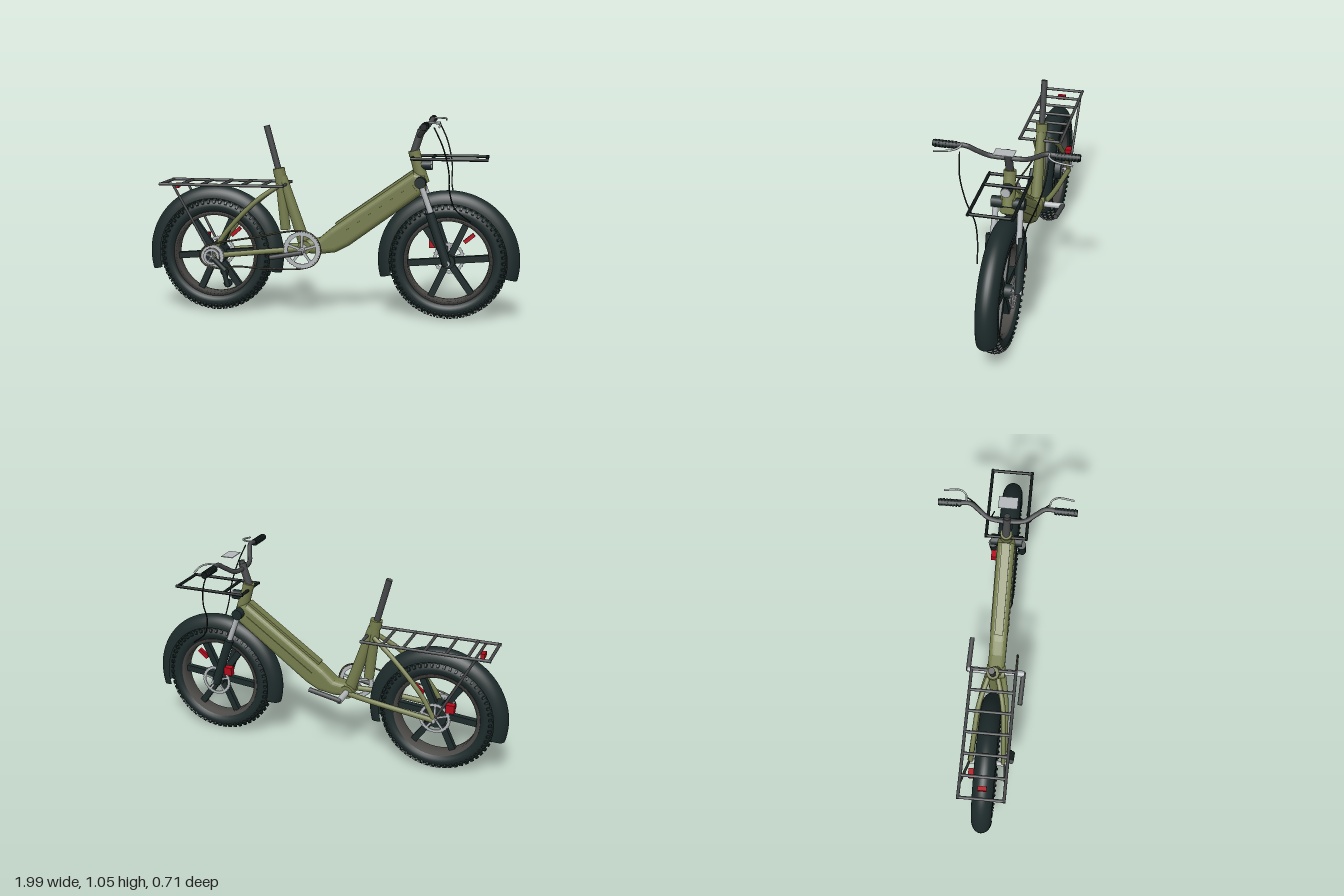
import * as THREE from 'three';
import { mergeGeometries } from 'three/addons/utils/BufferGeometryUtils.js';

const mat = (name, color, side = THREE.FrontSide) => {
  const m = new THREE.MeshStandardMaterial({ color, side });
  m.name = name;
  return m;
};
const V = (x, y, z) => new THREE.Vector3(x, y, z);

export function createModel() {
  const bike = new THREE.Group();
  bike.name = 'bicycle';
  const olive = mat('olive paint', 0x757c4c);
  const dark = mat('dark rubber', 0x1d2a2a, THREE.DoubleSide);
  const grey = mat('dark grey metal', 0x454748);
  const rimGrey = mat('rim grey', 0x4b4a47, THREE.DoubleSide);
  const silver = mat('silver metal', 0xb4b8bb);
  const red = mat('red', 0xb30a1c);
  const chainMat = mat('chain', 0x45432f);
  const black = mat('black', 0x101616);

  // Helpers
  const add = (name, geo, m, parent = bike) => {
    const o = new THREE.Mesh(geo, m);
    o.name = name;
    parent.add(o);
    return o;
  };
  const rod = (name, m, a, b, r, r2 = r, parent = bike) => {
    const d = b.clone().sub(a);
    const o = add(name, new THREE.CylinderGeometry(r2, r, d.length(), 16), m, parent);
    o.position.copy(a).addScaledVector(d, 0.5);
    o.quaternion.setFromUnitVectors(V(0, 1, 0), d.normalize());
    return o;
  };
  const tube = (name, m, pts, r, closed = false, seg = 48) =>
    add(name, new THREE.TubeGeometry(new THREE.CatmullRomCurve3(pts.map(p => V(...p)), closed, 'centripetal'), seg, r, 8, closed), m);
  const box = (name, m, size, pos, rz = 0, parent = bike) => {
    const o = add(name, new THREE.BoxGeometry(...size), m, parent);
    o.position.set(...pos);
    o.rotation.z = rz;
    return o;
  };
  // Flat toothed ring with spokes, facing z
  const disc = (name, m, r, inner, depth, teeth, pos, parent = bike) => {
    const s = new THREE.Shape();
    for (let i = 0; i < teeth * 2; i++) {
      const a = i * Math.PI / teeth, q = i % 2 ? r : r * 0.95;
      s[i ? 'lineTo' : 'moveTo'](q * Math.cos(a), q * Math.sin(a));
    }
    s.holes.push(new THREE.Path().absarc(0, 0, inner, 0, Math.PI * 2, true));
    const parts = [new THREE.ExtrudeGeometry(s, { depth, bevelEnabled: false, curveSegments: 32 }).toNonIndexed?.() ?? null].filter(Boolean);
    for (let i = 0; i < 5; i++) {
      const arm = new THREE.BoxGeometry(inner * 1.04, r * 0.13, depth).toNonIndexed();
      arm.translate(inner * 0.52, 0, depth / 2);
      arm.rotateZ(i * Math.PI * 0.4 + 0.3);
      parts.push(arm);
    }
    const o = add(name, mergeGeometries(parts), m, parent);
    o.position.set(pos[0], pos[1], pos[2] - depth / 2);
    return o;
  };
  const lathe = (pts, seg, start = 0, len = Math.PI * 2) =>
    new THREE.LatheGeometry(pts.map(p => new THREE.Vector2(...p)), seg, start, len).rotateX(Math.PI / 2);

  // Wheels with knobbly tyres, six spokes, rotor, reflector and fender
  const knobs = [];
  for (let i = 0; i < 56; i++) for (let j = -2; j <= 2; j++) {
    const phi = j * 0.5, k = new THREE.BoxGeometry(0.012, 0.019, 0.017);
    k.rotateX(phi);
    k.translate(0, 0.262 + 0.041 * Math.cos(phi), 0.05 * Math.sin(phi));
    k.rotateZ((i + (j & 1) * 0.5) * Math.PI / 28);
    knobs.push(k);
  }
  const knobGeo = mergeGeometries(knobs);
  const fenderProfile = [];
  for (let i = 0; i <= 16; i++) {
    const a = Math.PI * (i / 16 - 0.5);
    fenderProfile.push([0.305 + 0.066 * Math.cos(a), 0.054 * Math.sin(a)]);
  }
  const wheel = (name, x) => {
    const w = new THREE.Group();
    w.name = name;
    w.position.set(x, 0.31, 0);
    bike.add(w);
    const tyre = add('tyre', new THREE.TorusGeometry(0.262, 0.041, 16, 72), dark, w);
    tyre.scale.z = 1.2;
    add('treadKnobs', knobGeo, dark, w);
    add('rim', lathe([[0.232, -0.036], [0.212, -0.03], [0.212, 0.03], [0.232, 0.036], [0.232, -0.036]], 64), rimGrey, w);
    for (let i = 0; i < 6; i++) {
      const a = i * Math.PI / 3 + 0.09;
      box('spoke', dark, [0.2, 0.034, 0.03], [0.12 * Math.cos(a), 0.12 * Math.sin(a), 0], a, w);
    }
    rod('hub', dark, V(0, 0, -0.05), V(0, 0, 0.05), x < 0 ? 0.06 : 0.036, undefined, w);
    rod('axle', silver, V(0, 0, -0.1), V(0, 0, 0.1), 0.014, undefined, w);
    disc('brakeRotor', silver, 0.085, 0.067, 0.005, 30, [0, 0, -0.062], w);
    box('brakeCaliper', red, [0.045, 0.045, 0.035], [-0.083, 0.076, -0.072], 0, w);
    box('spokeReflector', red, [0.065, 0.02, 0.02], [0.107, 0.12, 0], 0.7, w);
    add('fender', lathe(fenderProfile, 64, Math.PI * 0.417, Math.PI * 1.166), dark, w);
  };
  wheel('rearWheel', -0.627);
  wheel('frontWheel', 0.625);

  // Deep down tube curving into the bottom bracket
  const outline = [[0.44, 0.775], [0.5, 0.755], [0.505, 0.675], [0.1, 0.375], [0.03, 0.338], [-0.06, 0.325],
    [-0.14, 0.33], [-0.16, 0.36], [-0.14, 0.4], [-0.06, 0.41], [0, 0.462]];
  const side = new THREE.Shape(outline.map(p => new THREE.Vector2(...p)));
  const down = new THREE.ExtrudeGeometry(side, { depth: 0.036, bevelThickness: 0.028, bevelSize: 0.028, bevelOffset: -0.028, bevelSegments: 5 });
  add('downTube', down.translate(0, 0, -0.018), olive);
  const slope = Math.atan2(0.3, 0.42);
  box('batteryCover', olive, [0.5, 0.02, 0.045], [0.235, 0.631, 0], Math.atan2(0.313, 0.44));
  for (const s of [1, -1]) box('sideRib', olive, [0.46, 0.04, 0.008], [0.26, 0.56, s * 0.046], slope);

  // Seat and head tubes
  rod('seatTube', olive, V(-0.245, 0.45, 0), V(-0.278, 0.775, 0), 0.027);
  rod('seatBraceTube', olive, V(-0.14, 0.37, 0), V(-0.262, 0.735, 0), 0.033, 0.025);
  rod('seatClamp', olive, V(-0.273, 0.735, 0), V(-0.281, 0.78, 0), 0.032);
  rod('seatPost', grey, V(-0.275, 0.745, 0), V(-0.344, 1.005, 0), 0.017);
  rod('headTube', olive, V(0.488, 0.715, 0), V(0.44, 0.875, 0), 0.034, 0.029);
  rod('headsetCap', olive, V(0.444, 0.86, 0), V(0.438, 0.885, 0), 0.031);
  rod('stem', grey, V(0.438, 0.875, 0), V(0.475, 0.99, 0), 0.02);
  rod('stemCap', grey, V(0.472, 0.98, 0), V(0.479, 1.006, 0), 0.016);

  // Crown, fork, stays and levers on both sides
  rod('forkCrown', dark, V(0.478, 0.725, -0.083), V(0.478, 0.725, 0.083), 0.029);
  for (const s of [1, -1]) {
    rod('forkUpper', silver, V(0.482, 0.71, s * 0.062), V(0.545, 0.54, s * 0.066), 0.015);
    rod('forkLower', dark, V(0.53, 0.57, s * 0.078), V(0.622, 0.3, s * 0.078), 0.024);
    tube('seatStay', olive, [[-0.275, 0.69, s * 0.025], [-0.4, 0.6, s * 0.062], [-0.56, 0.43, s * 0.08], [-0.627, 0.32, s * 0.088]], 0.013);
    tube('chainStay', olive, [[-0.14, 0.355, s * 0.04], [-0.28, 0.345, s * 0.066], [-0.627, 0.31, s * 0.09]], 0.015);
    rod('grip', black, V(0.517, 1.03, s * 0.235), V(0.513, 1.03, s * 0.352), 0.017);
    for (let i = 0; i < 7; i++) rod('gripRing', dark, V(0.515, 1.03, s * (0.24 + i * 0.016)), V(0.515, 1.03, s * (0.248 + i * 0.016)), 0.019);
    tube('brakeLever', silver, [[0.518, 1.042, s * 0.21], [0.56, 1.042, s * 0.215], [0.585, 1.038, s * 0.245], [0.585, 1.025, s * 0.33]], 0.005);
    tube('brakeCable', black, [[0.555, 1.02, s * 0.212], [0.6, 0.92, s * 0.203], [0.628, 0.8, s * 0.168], [0.632, 0.69, s * 0.125], [0.66, 0.6, s * 0.108], [0.74, 0.53, s * 0.09]], 0.0035);
  }
  tube('handlebar', grey, [[0.517, 1.033, -0.25], [0.518, 1.034, -0.19], [0.5, 1.005, -0.145], [0.475, 0.972, -0.09], [0.468, 0.965, 0],
    [0.475, 0.972, 0.09], [0.5, 1.005, 0.145], [0.518, 1.034, 0.19], [0.517, 1.033, 0.25]], 0.0125, false, 80);
  box('display', silver, [0.065, 0.004, 0.098], [0.54, 1.03, 0]);

  // Headlight
  rod('headlight', dark, V(0.465, 0.81, 0), V(0.53, 0.81, 0), 0.026);
  rod('headlightLens', silver, V(0.53, 0.81, 0), V(0.536, 0.81, 0), 0.024);

  // Luggage racks: rails along x, bars along z
  const rack = (name, x0, x1, y, w, bars, r, m) => {
    const g = new THREE.Group();
    g.name = name;
    bike.add(g);
    for (const s of [1, -1]) rod('rackRail', m, V(x0 - r, y, s * w), V(x1 + r, y, s * w), r, r, g);
    for (const x of bars) rod('rackBar', m, V(x, y, -w), V(x, y, w), r, r, g);
  };
  rack('rearRack', -0.9, -0.24, 0.695, 0.113, [0, 1, 2, 3, 4, 5, 6].map(i => -0.9 + i * 0.11), 0.008, grey);
  rack('frontRack', 0.435, 0.815, 0.85, 0.104, [0.435, 0.54, 0.815], 0.008, black);
  for (const s of [1, -1]) rod('rackStrut', grey, V(-0.83, 0.69, s * 0.113), V(-0.64, 0.33, s * 0.095), 0.007);
  rod('rackMount', grey, V(-0.24, 0.695, 0), V(-0.29, 0.695, 0), 0.012);
  box('tailLight', red, [0.022, 0.025, 0.045], [-0.845, 0.675, 0]);

  // Drivetrain
  disc('chainring', silver, 0.1, 0.075, 0.009, 42, [-0.135, 0.362, 0.112]);
  disc('rearCog', silver, 0.066, 0.046, 0.012, 24, [-0.627, 0.31, 0.1]);
  disc('smallCog', silver, 0.045, 0.03, 0.01, 18, [-0.627, 0.31, 0.112]);
  rod('crankAxle', silver, V(-0.135, 0.36, -0.155), V(-0.135, 0.36, 0.155), 0.017);
  rod('bottomBracket', olive, V(-0.135, 0.362, -0.05), V(-0.135, 0.362, 0.05), 0.036);
  rod('leftCrankArm', grey, V(-0.145, 0.36, -0.15), V(0.035, 0.393, -0.145), 0.013);
  rod('rightCrankArm', grey, V(-0.125, 0.355, 0.15), V(-0.3, 0.322, 0.145), 0.013);
  tube('chain', chainMat, [[-0.135, 0.462, 0.11], [-0.065, 0.432, 0.11], [-0.036, 0.362, 0.11], [-0.065, 0.291, 0.11], [-0.135, 0.262, 0.11],
    [-0.35, 0.255, 0.11], [-0.53, 0.25, 0.11], [-0.548, 0.175, 0.11], [-0.57, 0.24, 0.11], [-0.61, 0.25, 0.11],
    [-0.67, 0.27, 0.11], [-0.692, 0.31, 0.11], [-0.67, 0.357, 0.11], [-0.627, 0.376, 0.11], [-0.4, 0.42, 0.11]], 0.005, true, 150);
  rod('derailleurArm', dark, V(-0.61, 0.3, 0.125), V(-0.548, 0.24, 0.128), 0.014);
  rod('derailleurCage', dark, V(-0.56, 0.25, 0.128), V(-0.535, 0.155, 0.128), 0.013);
  for (const [x, y] of [[-0.555, 0.235], [-0.537, 0.17]]) rod('jockeyWheel', dark, V(x, y, 0.105), V(x, y, 0.125), 0.022);
  return bike;
}
